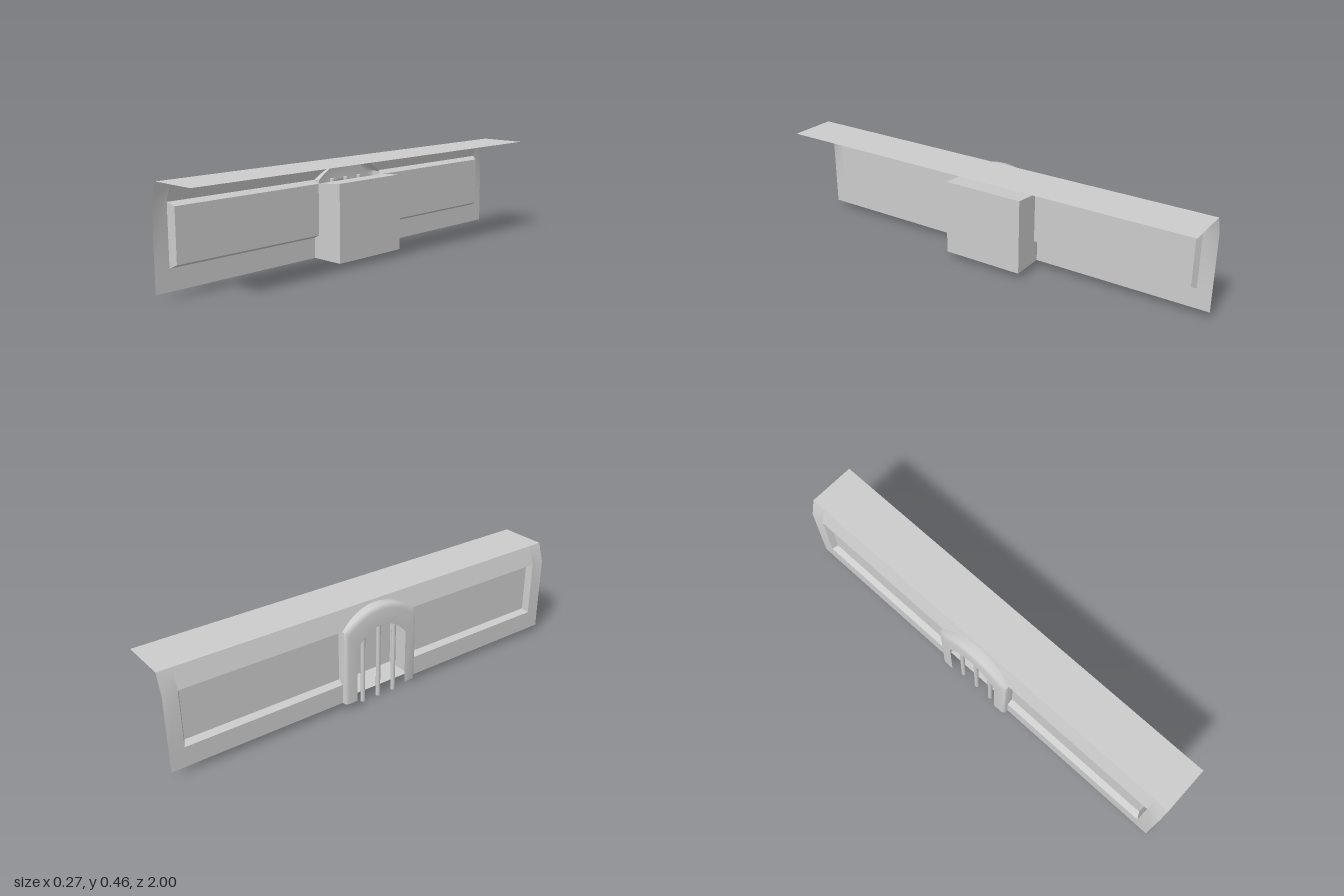
import * as THREE from 'three';
import { toCreasedNormals } from 'three/addons/utils/BufferGeometryUtils.js';

const material = new THREE.MeshStandardMaterial({ color: 0xcccccc, side: THREE.DoubleSide });

const HALF = 0.19;      // half width of the housing
const BOTTOM = 0.03;    // lower edge of the sheet
const SPRING = 0.375;   // where the sheet starts to lean and the arch to curve
const TOP = 0.462;
const FACE = -0.11;     // x of the sheet
const INNER = -0.083;   // x of the pressed panels

// Joins cross-sections (arrays of [x, y, z]) into one sheet
function loft(name, rings, crease = 0.7) {
  const pos = [];
  for (let i = 0; i < rings.length - 1; i++) {
    for (let j = 0; j < rings[i].length - 1; j++) {
      const a = rings[i][j], b = rings[i][j + 1];
      const c = rings[i + 1][j + 1], d = rings[i + 1][j];
      pos.push(...a, ...b, ...c, ...a, ...c, ...d);
    }
  }
  const geo = new THREE.BufferGeometry();
  geo.setAttribute('position', new THREE.Float32BufferAttribute(pos, 3));
  const mesh = new THREE.Mesh(toCreasedNormals(geo, crease), material);
  mesh.name = name;
  return mesh;
}

// x of the leaning upper strip at height y
const leanX = (y) => THREE.MathUtils.mapLinear(y, SPRING, TOP, FACE, -0.082);

// Arch height at z for a given half width, spring line and crown
const archY = (z, w, spring, crown) => spring + (crown - spring) * (1 - Math.abs(z / w) ** 2.1);

export function createModel() {
  const group = new THREE.Group();

  // Side sheets, each with a pressed panel between the end and the housing
  for (const side of [-1, 1]) {
    const rings = [1, 0.935, 0.92, HALF].map((z) => {
      const x = z < 0.93 ? INNER : FACE;
      return [
        [FACE, BOTTOM, side * z],
        [FACE, 0.12, side * z],
        [x, z < 0.93 ? 0.135 : 0.12, side * z],
        [x, z < 0.93 ? 0.36 : SPRING, side * z],
        [FACE, SPRING, side * z],
        [leanX(TOP), TOP, side * z],
      ];
    });
    // degenerate strips at the plain end are merged into one flat border
    const border = rings.slice(0, 2).map((r) => [r[0], r[1], r[4], r[5]]);
    group.add(loft(side > 0 ? 'leftBorder' : 'rightBorder', border));
    group.add(loft(side > 0 ? 'leftPanel' : 'rightPanel', rings.slice(1)));
  }

  // Leaning strip above the arch
  const strip = [];
  for (let i = 0; i <= 24; i++) {
    const z = -HALF + (2 * HALF * i) / 24;
    const y = archY(z, HALF, SPRING, 0.45);
    strip.push([[leanX(y), y, z], [leanX(TOP), TOP, z]]);
  }
  group.add(loft('stripAboveArch', strip));

  // Flat top flange
  group.add(loft('topFlange', [-1, 1].map((z) => [[leanX(TOP), TOP, z], [0.135, TOP, z]])));

  // Arched frame: [x, side inset, crown drop] for each section
  const frame = [
    [-0.082, 0, 0], [-0.124, 0, 0], [-0.131, 0.005, 0.006],
    [-0.135, 0.016, 0.018], [-0.135, 0.06, 0.09],
  ].map(([x, inset, drop]) => {
    const w = HALF - inset;
    const ring = [[x, BOTTOM, -w]];
    for (let i = 0; i <= 24; i++) {
      const z = -w + (2 * w * i) / 24;
      ring.push([x, archY(z, w, SPRING - drop, 0.45 - drop), z]);
    }
    ring.push([x, BOTTOM, w]);
    return ring;
  });
  group.add(loft('archFrame', frame, 0.9));

  // Housing box, open towards the arch, with a slightly sloping lid
  const section = (x, top) => [
    [x, BOTTOM, -HALF], [x, top, -HALF], [x, top, HALF], [x, BOTTOM, HALF], [x, BOTTOM, -HALF],
  ];
  group.add(loft('housingWalls', [section(INNER, 0.361), section(0.045, 0.374)]));
  const end = new THREE.Mesh(new THREE.PlaneGeometry(2 * HALF, 0.344), material);
  end.name = 'housingFront';
  end.rotation.y = Math.PI / 2;
  end.position.set(0.045, BOTTOM + 0.172, 0);
  group.add(end);

  // Three pins standing in the arch
  for (const z of [-0.083, 0, 0.083]) {
    const pin = new THREE.Mesh(new THREE.CylinderGeometry(0.01, 0.01, 0.37, 16), material);
    pin.name = 'pin';
    pin.position.set(FACE, 0.185, z);
    group.add(pin);
  }

  return group;
}
